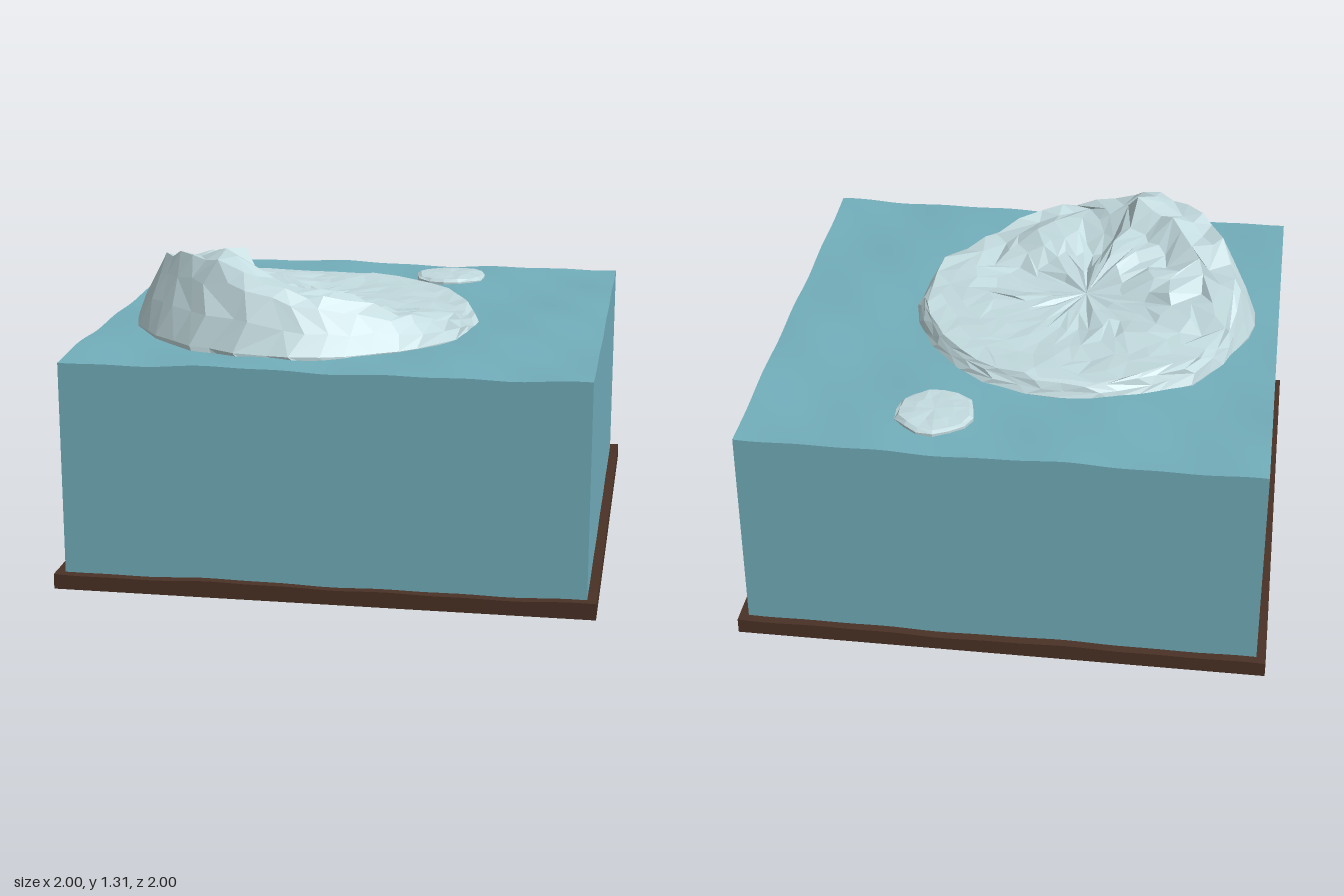
import * as THREE from 'three';

const ice = new THREE.MeshStandardMaterial({ color: 0xc2dade, flatShading: true, side: THREE.DoubleSide });
const water = new THREE.MeshStandardMaterial({ color: 0x72aebb });
const earth = new THREE.MeshStandardMaterial({ color: 0x4a3226 });

// repeatable noise in -1..1
const noise = (a, b = 0, c = 0) => {
  const s = Math.sin(a * 127.1 + b * 311.7 + c * 74.7) * 43758.5453;
  return (s - Math.floor(s)) * 2 - 1;
};

// gentle ripples
const ripple = (x, z) =>
  0.4 * Math.sin(9 * x + 4 * z + 1) + 0.35 * Math.sin(13 * z - 5 * x) + 0.25 * Math.sin(19 * x - 11 * z + 2);

function add(group, name, geometry, material) {
  const mesh = new THREE.Mesh(geometry, material);
  mesh.name = name;
  group.add(mesh);
  return mesh;
}

// square slab with a rippled top
function slab(size, bottom, top, amplitude, segments) {
  const g = new THREE.BoxGeometry(size, top - bottom, size, segments, 1, segments);
  g.translate(0, (top + bottom) / 2, 0);
  const p = g.attributes.position;
  for (let i = 0; i < p.count; i++) {
    if (p.getY(i) > (top + bottom) / 2) p.setY(i, top + amplitude * ripple(p.getX(i), p.getZ(i)));
  }
  g.computeVertexNormals();
  return g;
}

// closed rings (centre first) joined into a faceted dome
function dome(rings, n) {
  const index = [];
  for (let k = 0; k + 1 < rings.length; k++) {
    for (let j = 0; j < n; j++) {
      const a = k * n + j, b = k * n + (j + 1) % n, c = a + n, d = b + n;
      if (k === 0) index.push(a, d, c);
      else if (noise(k, j, 5) > 0) index.push(a, b, c, c, b, d);
      else index.push(a, d, c, a, b, d);
    }
  }
  const g = new THREE.BufferGeometry();
  g.setAttribute('position', new THREE.Float32BufferAttribute(rings.flat(2), 3));
  g.setIndex(index);
  g.computeVertexNormals();
  return g;
}

// landmarks of the iceberg's top: x, z, height
const heights = [
  [-0.43, 0.5, 1.32], [-0.45, 0.6, 1.27], [-0.55, 0.4, 1.28], [-0.63, 0.3, 1.25], [-0.7, 0.15, 1.18],
  [-0.66, 0, 1.11], [-0.68, -0.2, 1.07], [-0.5, -0.35, 1.05], [-0.2, -0.45, 1.03], [0.1, -0.35, 1.03],
  [0.3, -0.1, 1.03], [0.4, 0.15, 1.03], [0.3, 0.4, 1.06], [0.2, 0.52, 1.1], [0.05, 0.55, 1.15],
  [-0.1, 0.55, 1.17], [-0.25, 0.58, 1.22], [-0.35, 0.33, 1.2], [-0.5, 0.2, 1.14], [-0.2, 0.35, 1.1],
  [-0.35, 0, 1.06], [-0.1, 0.1, 1.04], [0.1, 0.2, 1.04], [-0.1, -0.2, 1.03],
];
function surface(x, z) {
  let sum = 0, total = 0;
  for (const [px, pz, y] of heights) {
    const w = 1 / (((x - px) ** 2 + (z - pz) ** 2) ** 2 + 1e-5);
    sum += w * y;
    total += w;
  }
  return sum / total;
}

function iceberg() {
  const n = 40, rings = [];
  const inner = [0, 0.22, 0.42, 0.6, 0.75, 0.88, 1];
  const wall = [[0.72, 0.8], [0.38, 0.45], [0.04, 0.06], [0, -0.25]]; // share of wall width, share of height
  for (let k = 0; k < inner.length + wall.length; k++) {
    const ring = [];
    for (let j = 0; j < n; j++) {
      const a = ((j + (k % 2) * 0.5 + (k ? 0.25 * noise(k, j) : 0)) / n) * Math.PI * 2;
      const R = 0.67 + 0.012 * noise(j, 9) + 0.008 * Math.sin(5 * a);
      const width = 0.06 + 0.17 * Math.max(0, Math.cos(a - 1.95)) ** 0.7; // broad cliff towards the front
      const top = k < inner.length;
      let f = top ? inner[k] * (1 - width) : 1 - width * wall[k - inner.length][0];
      if (k > 0 && k < inner.length - 1) f += 0.035 * noise(j, k, 2);
      const x = -0.2 + R * f * Math.cos(a), z = 0.13 + R * f * Math.sin(a);
      let y = surface(x, z);
      const rough = Math.min(0.018, (y - 1.0) * 0.2);
      if (k > 0) y += rough * noise(j, k, 3);
      if (!top) y = 0.97 + (y - 0.97) * wall[k - inner.length][1];
      ring.push([x, y, z]);
    }
    rings.push(ring);
  }
  return dome(rings, n);
}

function floe() {
  const n = 15, rings = [];
  for (const [f, y] of [[0, 1.0], [0.5, 1.0], [0.9, 0.997], [1, 0.985], [1, 0.95]]) {
    rings.push(Array.from({ length: n }, (_, j) => {
      const a = (j / n) * Math.PI * 2, r = f * (0.148 + 0.007 * noise(j, 4));
      return [0.27 + r * Math.cos(a), y + (f ? 0.004 * noise(j, f) : 0), -0.7 + r * Math.sin(a)];
    }));
  }
  return dome(rings, n);
}

// faceted boulder
function boulder(x, y, z, rx, ry, rz, rough = 0.06) {
  const g = new THREE.IcosahedronGeometry(1, 1), p = g.attributes.position, v = new THREE.Vector3();
  for (let i = 0; i < p.count; i++) {
    v.fromBufferAttribute(p, i);
    const q = v.toArray().map((t) => Math.round(t * 100) / 100);
    v.multiplyScalar(1 + rough * noise(...q));
    p.setXYZ(i, v.x, v.y, v.z);
  }
  g.scale(rx, ry, rz);
  g.translate(x, y, z);
  g.computeVertexNormals();
  return g;
}

export function createModel() {
  const group = new THREE.Group();
  group.name = 'icebergDiorama';

  // block of sea on its bed
  add(group, 'seaBed', slab(2, 0.115, 0.173, 0.006, 40), earth);
  add(group, 'waterBlock', slab(1.93, 0.16, 0.976, 0.009, 64), water);

  // floating ice
  add(group, 'iceberg', iceberg(), ice);
  add(group, 'smallFloe', floe(), ice);

  // boulders poking through the bed
  const boulders = new THREE.Group();
  boulders.name = 'boulders';
  group.add(boulders);
  add(boulders, 'largeBoulder', boulder(0.55, 0.14, -0.58, 0.205, 0.133, 0.205), ice);
  add(boulders, 'mediumBoulder', boulder(0.65, 0.13, 0.66, 0.12, 0.12, 0.125), ice);
  add(boulders, 'smallBoulder', boulder(-0.255, 0.085, 0.15, 0.052, 0.07, 0.055, 0.1), ice);
  add(boulders, 'pebble', boulder(-0.25, 0.085, 0.1, 0.045, 0.047, 0.045, 0.02), ice);
  add(boulders, 'sidePebble', boulder(-0.295, 0.1, 0.13, 0.028, 0.04, 0.03, 0.05), ice);
  return group;
}
